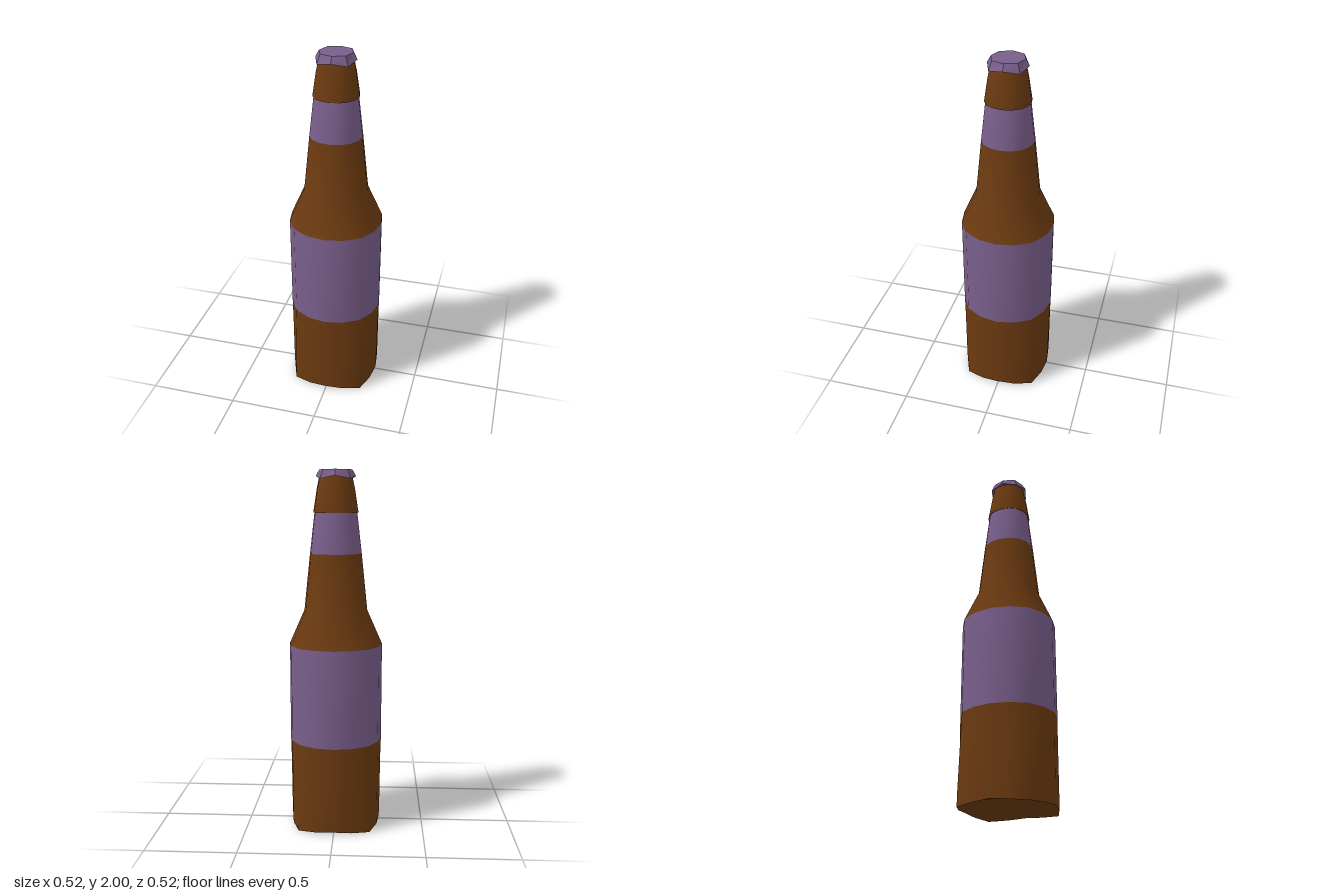
import * as THREE from 'three';

const brown = new THREE.MeshStandardMaterial({ color: 0x6b3a10, side: THREE.DoubleSide });
const purple = new THREE.MeshStandardMaterial({ color: 0x7a5f8c, side: THREE.DoubleSide });
const capPurple = new THREE.MeshStandardMaterial({ color: 0x7a5f8c, side: THREE.DoubleSide, flatShading: true });

// Skin through rings, each [y, radius, corner stretch, corner drop].
// The stretch pulls the four diagonals outward, the drop lowers them.
function loft(name, rings, material, sides = 16) {
  const pos = [], index = [];
  for (const [y, r, stretch = 1, drop = 0] of rings) {
    for (let i = 0; i < sides; i++) {
      const a = (i / sides) * Math.PI * 2;
      const corner = Math.sin(2 * a) ** 2;
      const blend = corner > 0.9 ? 1 : corner * 0.4;
      const rr = r * (1 + (stretch - 1) * blend);
      pos.push(Math.sin(a) * rr, y - drop * corner, Math.cos(a) * rr);
    }
  }
  for (let j = 0; j < rings.length - 1; j++) {
    for (let i = 0; i < sides; i++) {
      const n = (i + 1) % sides;
      const a = j * sides + i, b = j * sides + n, c = a + sides, d = b + sides;
      // skip the empty triangles where a ring closes to a point
      if (rings[j][1] > 0) index.push(a, b, d);
      if (rings[j + 1][1] > 0) index.push(a, d, c);
    }
  }
  const geo = new THREE.BufferGeometry();
  geo.setAttribute('position', new THREE.Float32BufferAttribute(pos, 3));
  geo.setIndex(index);
  geo.computeVertexNormals();
  const mesh = new THREE.Mesh(geo, material);
  mesh.name = name;
  return mesh;
}

export function createModel() {
  const bottle = new THREE.Group();
  bottle.name = 'bottle';

  // Glass body, from the squarish foot up to the neck
  bottle.add(
    loft('base', [[0.06, 0], [0.055, 0.1], [0.03, 0.18, 1.05], [0.015, 0.252, 1.122, 0.015]], brown),
    loft('lowerBody', [[0.015, 0.252, 1.122, 0.015], [0.06, 0.254, 1.112], [0.38, 0.257, 1.06], [0.5, 0.26, 1.03]], brown),
    loft('bodyLabel', [[0.5, 0.26, 1.03], [1.045, 0.26, 1.03]], purple),
    loft('shoulderAndNeck', [[1.045, 0.26, 1.03], [1.235, 0.176, 1.03], [1.55, 0.143, 1.03]], brown),
    loft('neckLabel', [[1.55, 0.143, 1.03], [1.775, 0.117, 1.03]], purple)
  );

  // Flared lip with its small overhang
  bottle.add(
    loft('lipUnderside', [[1.775, 0.113, 1.03], [1.77, 0.124, 1.03]], brown),
    loft('lip', [[1.77, 0.124, 1.03], [1.9, 0.104, 1.03], [1.965, 0.09, 1.03]], brown)
  );

  // Eight-sided crown cap
  bottle.add(
    loft('cap', [[1.972, 0.085], [1.965, 0.11, 1.04, 0.015], [2, 0.09, 1.04], [2, 0]], capPurple, 8)
  );
  return bottle;
}
